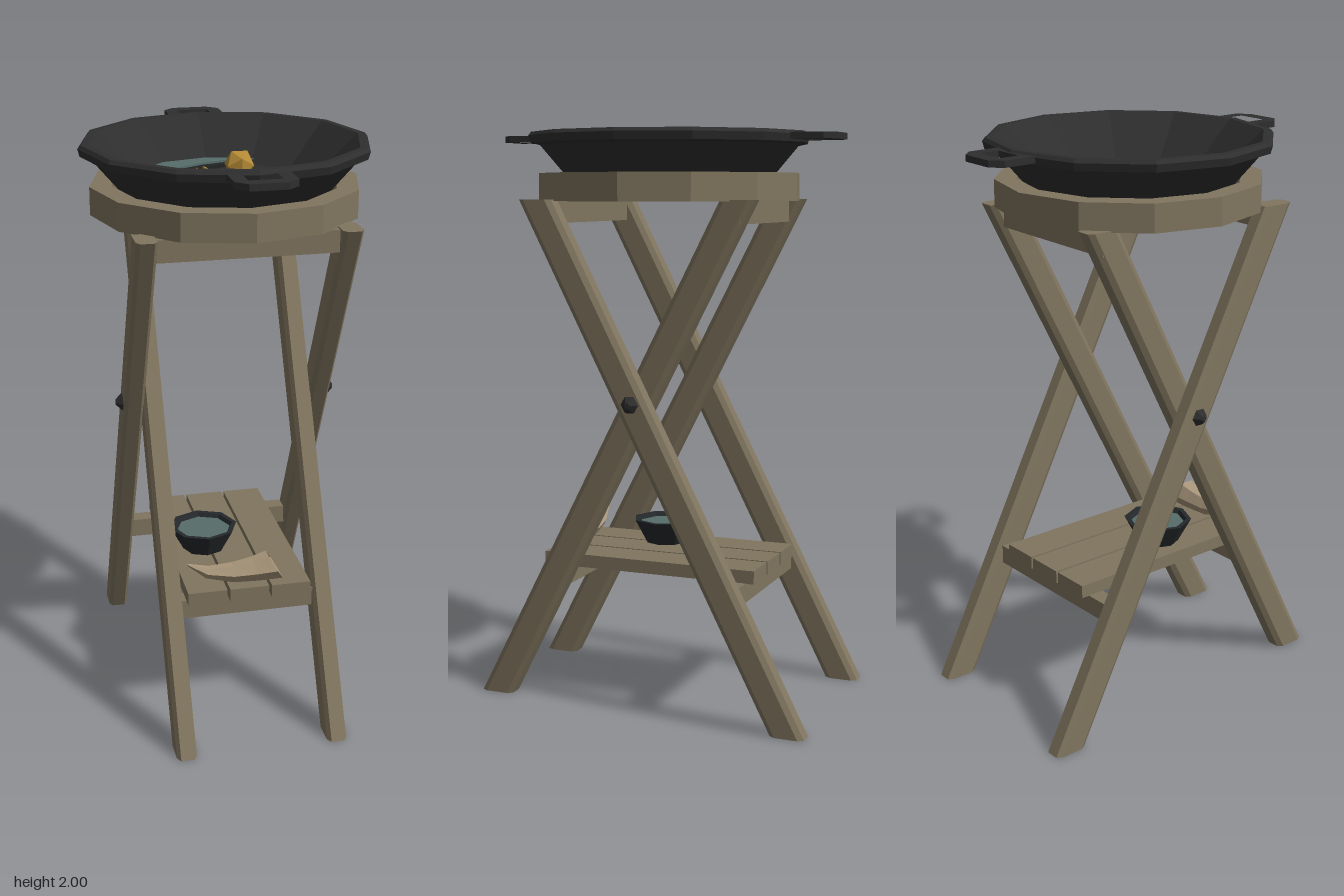
import * as THREE from 'three';

const paint = (name, color) => {
  const m = new THREE.MeshStandardMaterial({ color });
  m.name = name;
  return m;
};

// faceted low-poly normals
function facet(geo) {
  const g = geo.index ? geo.toNonIndexed() : geo;
  g.computeVertexNormals();
  return g;
}

// upright prism from an outline of [x, z] points, with optional hole
function prism(points, y0, y1, hole) {
  const v = (p) => new THREE.Vector2(p[0], -p[1]);
  const shape = new THREE.Shape(points.map(v));
  if (hole) shape.holes.push(new THREE.Path(hole.map(v)));
  const g = new THREE.ExtrudeGeometry(shape, { depth: y1 - y0, bevelEnabled: false });
  return g.rotateX(-Math.PI / 2).translate(0, y0, 0);
}

const lathe = (pts, sides) =>
  facet(new THREE.LatheGeometry(pts.map((p) => new THREE.Vector2(p[0], p[1])), sides));

export function createModel() {
  const model = new THREE.Group();
  model.name = 'prospectingStand';
  const wood = paint('weathered wood', 0x80755f);
  const iron = paint('black iron', 0x2e2e2e);
  const sandMat = paint('black sand', 0x222323);
  const bowlMat = paint('dark enamel', 0x25292c);
  const water = paint('water', 0x566d69);
  const gold = paint('gold', 0xb48a35);
  const horn = paint('horn', 0xa8967a);
  horn.side = THREE.DoubleSide;

  const add = (name, geo, mat, x = 0, y = 0, z = 0) => {
    const m = new THREE.Mesh(geo, mat);
    m.name = name;
    m.position.set(x, y, z);
    model.add(m);
    return m;
  };
  const box = (name, w, h, d, x, y, z) => add(name, new THREE.BoxGeometry(w, h, d), wood, x, y, z);

  // crossed legs: chamfered section sheared along z, cut level at both ends
  const legGeometry = (dir) => {
    const w = 0.035, d = 0.06, cx = 0.012, cz = 0.02;
    const g = prism([[-w + cx, -d], [w - cx, -d], [w, -d + cz], [w, d - cz],
      [w - cx, d], [-w + cx, d], [-w, d - cz], [-w, -d + cz]], 0, 1.77);
    const p = g.attributes.position;
    for (let i = 0; i < p.count; i++) p.setZ(i, p.getZ(i) + dir * (0.56 - 0.514 * p.getY(i)));
    return facet(g);
  };
  for (const side of [-1, 1]) {
    add('innerLeg', legGeometry(1), wood, side * 0.267);
    add('outerLeg', legGeometry(-1), wood, side * 0.335);
    // pivot bolt
    const bolt = add('pivotBolt', facet(new THREE.CylinderGeometry(0.01, 0.033, 0.024, 6)), iron, side * 0.381, 1.09, 0);
    bolt.rotation.z = -side * Math.PI / 2;
  }

  // rails under the ring and under the shelf
  box('topRailBack', 0.6, 0.075, 0.06, 0, 1.728, -0.33);
  box('topRailFront', 0.6, 0.075, 0.06, 0, 1.728, 0.33);
  box('shelfRailFront', 0.5, 0.068, 0.06, 0, 0.441, 0.333);
  box('shelfRailBack', 0.61, 0.068, 0.06, 0, 0.441, -0.333);
  for (const x of [-0.148, 0, 0.148]) box('shelfPlank', 0.138, 0.046, 0.79, x, 0.497, 0.003);

  // wooden ring that carries the pan
  add('supportRing', lathe([[0.385, 1.765], [0.46, 1.765], [0.46, 1.86], [0.385, 1.86], [0.385, 1.765]], 12), wood);

  // pan with flat rim
  add('pan', lathe([[0, 1.82], [0.34, 1.82], [0.455, 1.955], [0.488, 1.962], [0.495, 1.988],
    [0.485, 2.0], [0.46, 2.0], [0.3, 1.85], [0, 1.85]], 12), iron);
  for (const s of [-1, 1]) {
    const flip = (pts) => pts.map(([x, z]) => [x, z * s]);
    add('panHandle', facet(prism(
      flip([[-0.1, 0.465], [0.1, 0.465], [0.1, 0.58], [0.062, 0.617], [-0.062, 0.617], [-0.1, 0.58]]),
      1.97, 1.992,
      flip([[-0.055, 0.497], [0.055, 0.497], [0.055, 0.567], [-0.055, 0.567]]))), iron);
  }

  // crescents of water and sand along the back of the pan
  const shore = [[0.17, -0.272], [0.06, -0.262], [-0.03, -0.236], [-0.14, -0.175], [-0.24, -0.07], [-0.3, 0.055]];
  add('panWater', facet(prism([[-0.318, 0], [-0.277, -0.16], [-0.16, -0.277], [0, -0.318], [0.13, -0.284], ...shore],
    1.862, 1.869)), water);
  add('blackSand', facet(prism([[-0.29, 0.055], [-0.272, -0.05], [-0.17, -0.2], [-0.04, -0.265], [0.1, -0.28],
    [0.16, -0.265], [0.1, -0.255], [0.02, -0.222], [-0.08, -0.168], [-0.2, -0.085], [-0.26, -0.01]],
  1.849, 1.861)), sandMat);

  // gold nugget and flakes
  add('nugget', facet(new THREE.IcosahedronGeometry(0.055, 0)), gold, 0.09, 1.87, -0.18);
  [[-0.12, -0.093, 0.02], [-0.075, -0.117, 0.022], [-0.037, -0.147, 0.024]].forEach(([x, z, r], i) => {
    const f = add('goldFlake', facet(new THREE.TetrahedronGeometry(r, 0)), gold, x, 1.86, z);
    f.rotation.set(0.4 + i, 0.7 * i, 0.3);
  });

  // small bowl on the shelf
  add('bowl', lathe([[0, 0.52], [0.075, 0.52], [0.122, 0.607], [0.105, 0.607], [0.085, 0.57], [0, 0.57]], 8),
    bowlMat, -0.093, 0, 0.055);
  add('bowlWater', facet(new THREE.CylinderGeometry(0.098, 0.094, 0.008, 8)), water, -0.093, 0.589, 0.055);

  // horn scoop: six-sided tapering tube bent along a curve, open at the wide end
  const sections = [[-0.21, 0.605, 0.003], [-0.14, 0.568, 0.022], [-0.05, 0.557, 0.035],
    [0.03, 0.562, 0.044], [0.1, 0.572, 0.056]];
  const tilt = [-0.5, -0.35, 0, 0.25, 0.53];
  const scoop = new THREE.CylinderGeometry(1, 1, 4, 6, 4, true);
  const p = scoop.attributes.position;
  for (let i = 0; i < p.count; i++) {
    const k = Math.round(p.getY(i) + 2);
    const [cx, cy, r] = sections[k];
    const up = -p.getX(i) * r, out = p.getZ(i) * r;
    p.setXYZ(i, cx - up * Math.sin(tilt[k]), cy + up * Math.cos(tilt[k]), 0.342 + out);
  }
  add('hornScoop', facet(scoop), horn);

  return model;
}
